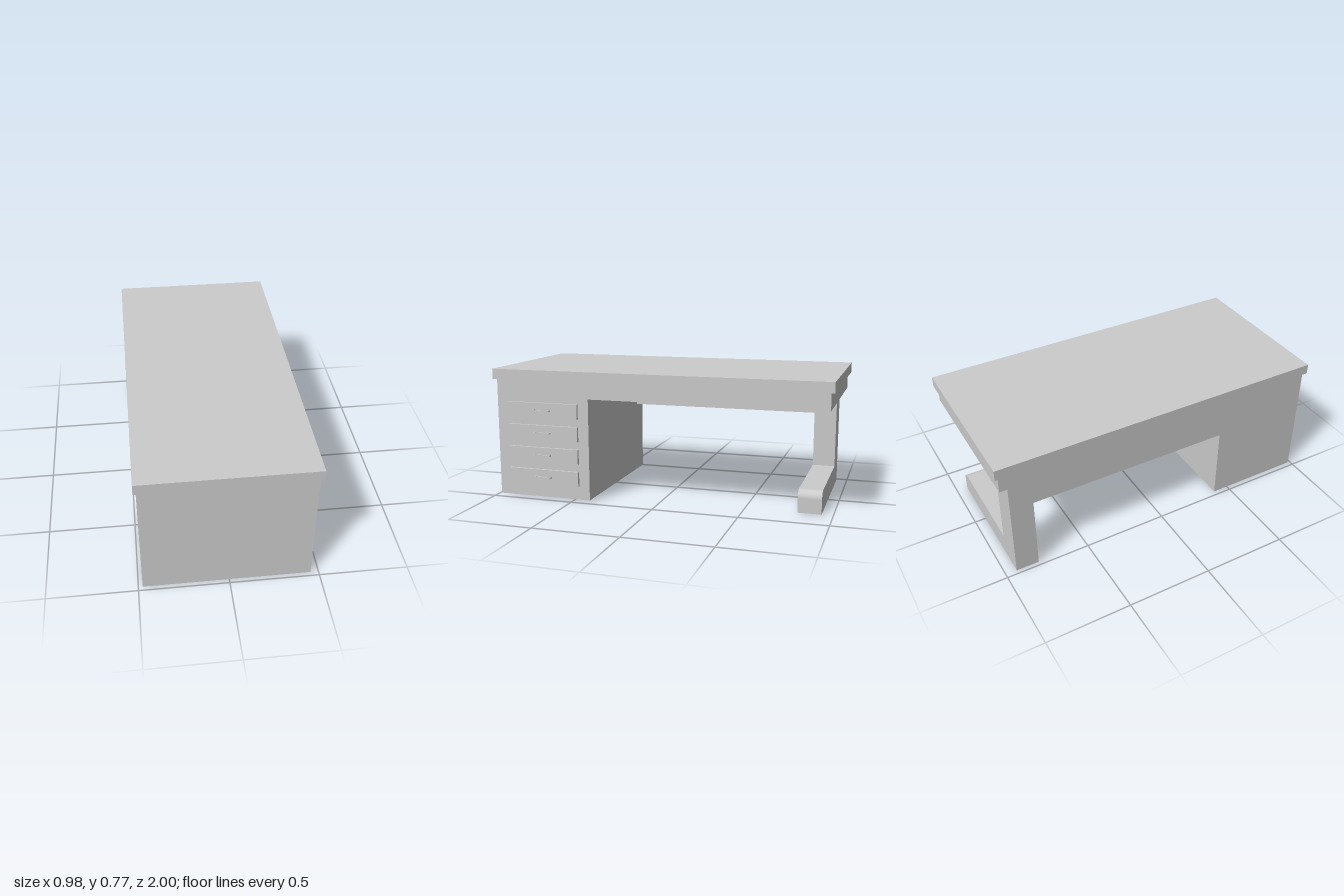
import * as THREE from 'three';

const material = new THREE.MeshStandardMaterial({ color: 0xcccccc, flatShading: true });

function addMesh(parent, name, geometry) {
  const mesh = new THREE.Mesh(geometry, material);
  mesh.name = name;
  parent.add(mesh);
  return mesh;
}

// Box given by its extents along each axis
function addBox(parent, name, [x0, x1], [y0, y1], [z0, z1]) {
  const mesh = addMesh(parent, name, new THREE.BoxGeometry(x1 - x0, y1 - y0, z1 - z0));
  mesh.position.set((x0 + x1) / 2, (y0 + y1) / 2, (z0 + z1) / 2);
  return mesh;
}

export function createModel() {
  const desk = new THREE.Group();
  desk.name = 'desk';
  const back = -0.476, front = 0.453;

  addBox(desk, 'tabletop', [-0.491, 0.469], [0.706, 0.766], [-1, 1]);

  // Cabinet and the deep frame under the top share one L-shaped side profile
  const side = new THREE.Shape([
    [-0.98, 0.006], [-0.4, 0.006], [-0.4, 0.607], [0.98, 0.607], [0.98, 0.706], [-0.98, 0.706],
  ].map(([x, y]) => new THREE.Vector2(x, y)));
  const body = addMesh(desk, 'cabinetAndFrame',
    new THREE.ExtrudeGeometry(side, { depth: front - back, bevelEnabled: false }));
  body.rotation.y = Math.PI / 2;
  body.position.x = back;

  addBox(desk, 'modestyPanel', [back, back + 0.105], [0.453, 0.607], [-0.8, 0.4]);

  // L-shaped leg with a rounded toe
  const toe = 0.314, footTop = 0.13, r = 0.045;
  const legShape = new THREE.Shape();
  legShape.moveTo(back, 0);
  legShape.lineTo(toe, 0);
  legShape.lineTo(toe, footTop - r);
  legShape.absarc(toe - r, footTop - r, r, 0, Math.PI / 2, false);
  legShape.lineTo(-0.312, footTop);
  legShape.lineTo(-0.312, 0.607);
  legShape.lineTo(back, 0.607);
  const leg = addMesh(desk, 'leg',
    new THREE.ExtrudeGeometry(legShape, { depth: 0.135, bevelEnabled: false, curveSegments: 10 }));
  leg.position.z = -0.935;

  // Bracket handle outline: x runs along the drawer, y points outwards
  const handleShape = new THREE.Shape([
    [-0.053, 0], [-0.043, 0], [-0.043, 0.012], [-0.04, 0.015], [0.04, 0.015], [0.043, 0.012],
    [0.043, 0], [0.053, 0], [0.053, 0.017], [0.048, 0.022], [-0.048, 0.022], [-0.053, 0.017],
  ].map(([x, y]) => new THREE.Vector2(x, y)));
  const handleGeometry = new THREE.ExtrudeGeometry(handleShape, { depth: 0.008, bevelEnabled: false });
  handleGeometry.translate(0, 0, -0.004);
  handleGeometry.rotateX(Math.PI / 2);
  handleGeometry.rotateY(Math.PI / 2);

  // Four drawers with handles
  for (let i = 0; i < 4; i++) {
    const y = 0.131 + i * 0.1335;
    const drawer = new THREE.Group();
    drawer.name = `drawer${i + 1}`;
    addBox(drawer, 'drawerFront', [front - 0.005, 0.469], [y - 0.0435, y + 0.0435], [0.465, 0.91]);
    const handle = addMesh(drawer, 'drawerHandle', handleGeometry);
    handle.position.set(0.468, y, 0.687);
    desk.add(drawer);
  }
  return desk;
}
